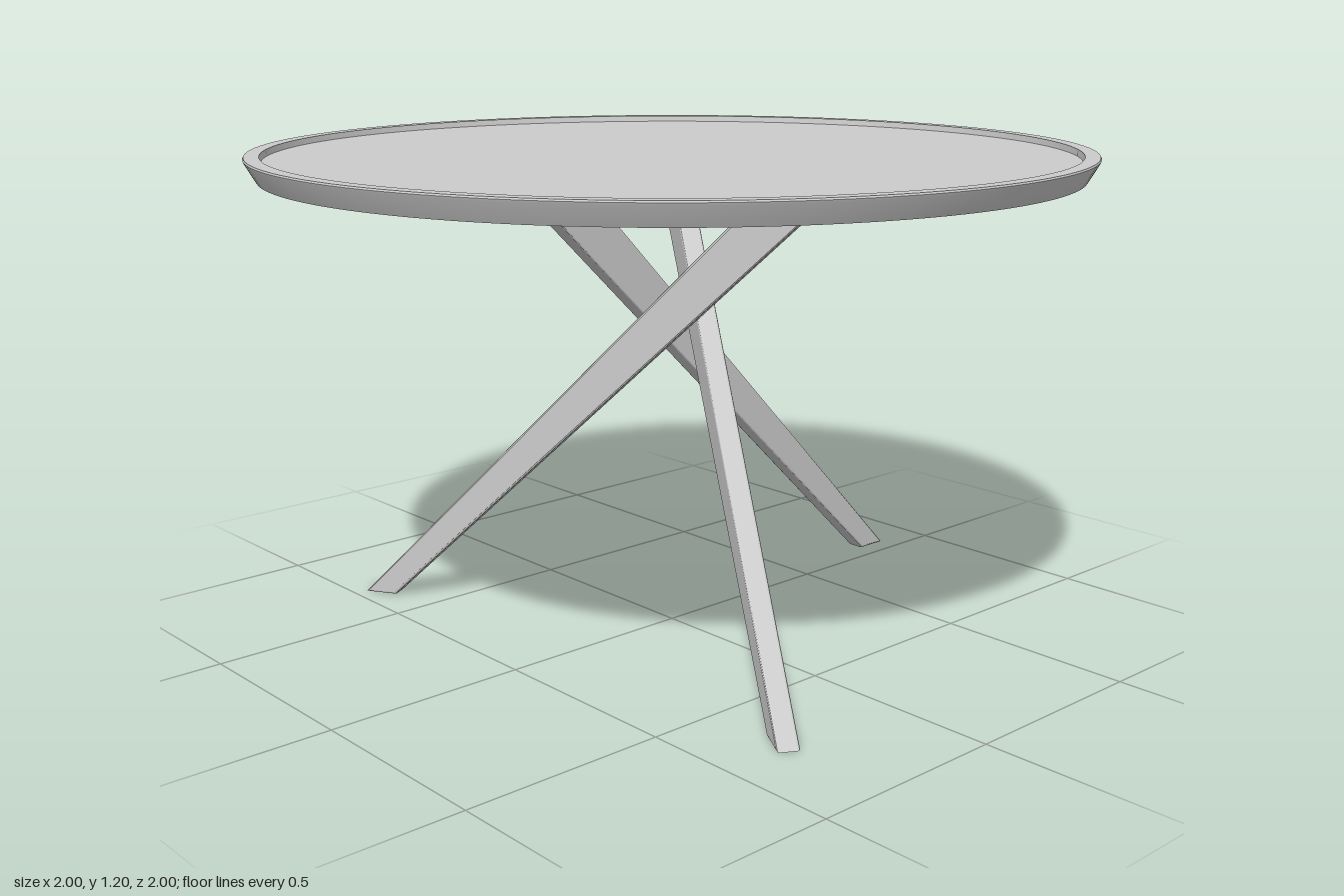
import * as THREE from 'three';
import { toCreasedNormals } from 'three/addons/utils/BufferGeometryUtils.js';

const TOP = 1.196, UNDERSIDE = 1.142;

export function createModel() {
  const table = new THREE.Group();
  table.name = 'roundTable';
  const material = new THREE.MeshStandardMaterial({ color: 0xcccccc });

  // Round top: undercut edge, raised rim and slightly sunken surface
  const profile = [
    [0, UNDERSIDE], [0.972, UNDERSIDE], [0.998, TOP - 0.009], [1, TOP - 0.004],
    [0.998, TOP], [0.963, TOP], [0.96, TOP - 0.015], [0, TOP - 0.015],
  ].map(([r, y]) => new THREE.Vector2(r, y));
  const topGeometry = toCreasedNormals(new THREE.LatheGeometry(profile, 128), 0.5);
  const tableTop = new THREE.Mesh(topGeometry, material);
  tableTop.name = 'tableTop';
  table.add(tableTop);

  // Slanted leg, tapering towards the foot, with softly bevelled edges
  const bevel = 0.006, width = 0.052;
  const outline = new THREE.Shape([
    [0.754, 0], [0.839, 0], [-0.283, UNDERSIDE + 0.008], [-0.453, UNDERSIDE + 0.008],
  ].map(([x, y]) => new THREE.Vector2(x, y)));
  const legGeometry = new THREE.ExtrudeGeometry(outline, {
    depth: width - 2 * bevel, bevelEnabled: true, bevelSize: bevel,
    bevelThickness: bevel, bevelOffset: -bevel, bevelSegments: 2,
  });
  legGeometry.translate(0, 0, -0.062 - width / 2 + bevel);

  // Three legs crossing past one another around a slightly offset centre
  const base = new THREE.Group();
  base.name = 'legs';
  base.position.set(0.026, 0, -0.013);
  for (let i = 0; i < 3; i++) {
    const leg = new THREE.Mesh(legGeometry, material);
    leg.name = `leg${i + 1}`;
    leg.rotation.y = (i * Math.PI * 2) / 3;
    base.add(leg);
  }
  table.add(base);
  return table;
}
